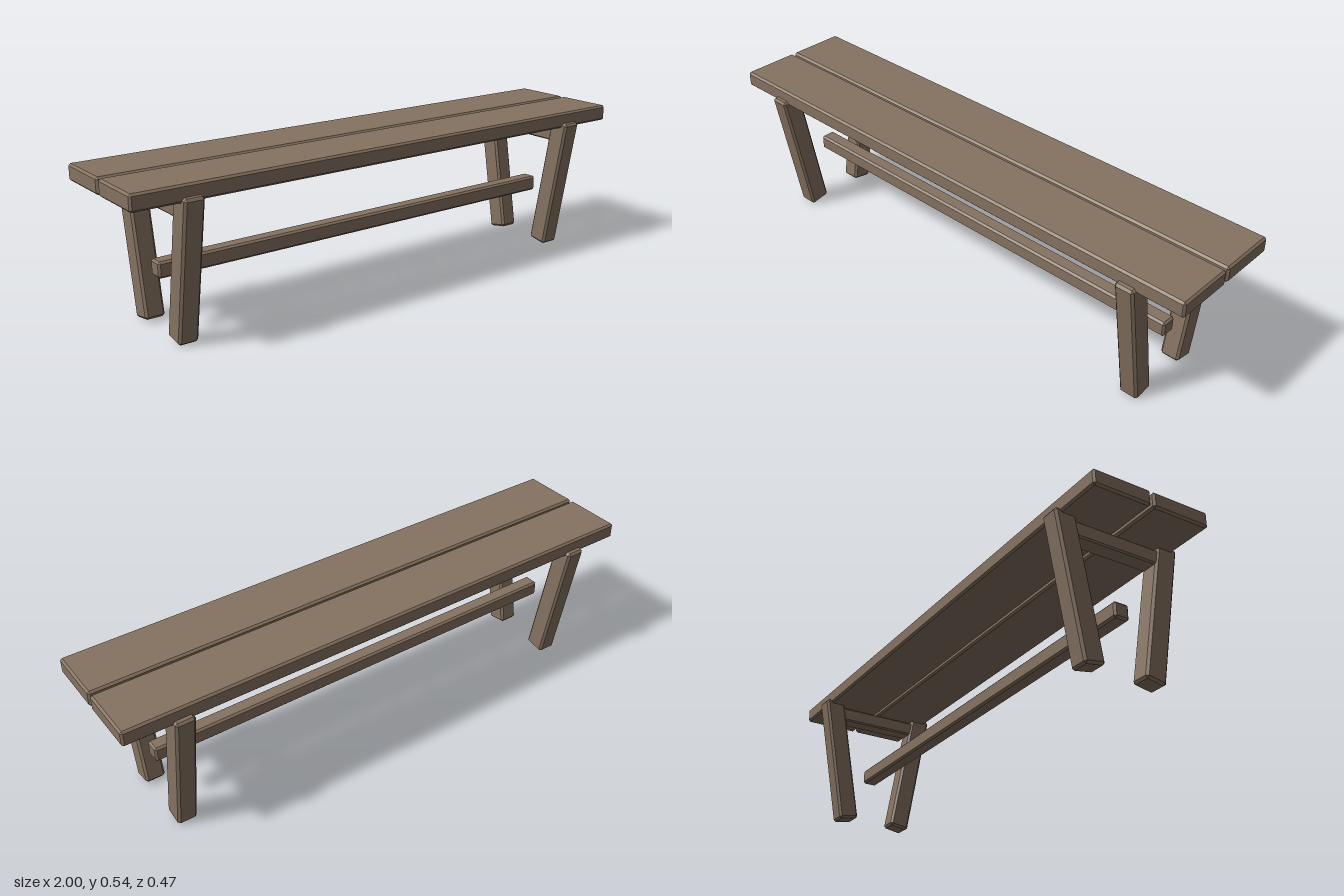
import * as THREE from 'three';
import { ConvexGeometry } from 'three/addons/geometries/ConvexGeometry.js';

// Box with every edge cut by a flat chamfer c
function chamferBox(w, h, d, c) {
  const points = [];
  for (const sx of [-1, 1]) for (const sy of [-1, 1]) for (const sz of [-1, 1]) {
    for (let axis = 0; axis < 3; axis++) {
      const half = [w / 2 - c, h / 2 - c, d / 2 - c];
      half[axis] += c;
      points.push(new THREE.Vector3(sx * half[0], sy * half[1], sz * half[2]));
    }
  }
  return new ConvexGeometry(points);
}

export function createModel() {
  const bench = new THREE.Group();
  bench.name = 'bench';
  const wood = new THREE.MeshStandardMaterial({ color: 0x857260 });
  wood.name = 'weathered wood';

  function add(name, geometry, x, y, z, tilt = 0) {
    const mesh = new THREE.Mesh(geometry, wood);
    mesh.name = name;
    mesh.position.set(x, y, z);
    mesh.rotation.x = tilt;
    bench.add(mesh);
  }

  const plank = chamferBox(2, 0.057, 0.213, 0.007);
  const leg = chamferBox(0.07, 0.503, 0.077, 0.008);
  const brace = chamferBox(0.06, 0.053, 0.34, 0.005);

  // Two seat planks with a narrow gap
  for (const side of [1, -1]) {
    add(side > 0 ? 'frontPlank' : 'backPlank', plank, 0, 0.512, side * 0.111);
  }

  // Splayed leg pairs, each joined by a brace under the seat
  for (const end of [1, -1]) {
    const endName = end > 0 ? 'left' : 'right';
    for (const side of [1, -1]) {
      const name = endName + (side > 0 ? 'Front' : 'Back') + 'Leg';
      add(name, leg, end * 0.8, 0.256, side * 0.155, side * THREE.MathUtils.degToRad(10));
    }
    add(endName + 'Brace', brace, end * 0.8, 0.45, 0);
  }

  // Long stretcher between the two ends
  add('stretcher', chamferBox(1.66, 0.056, 0.056, 0.007), 0, 0.215, 0);

  return bench;
}
